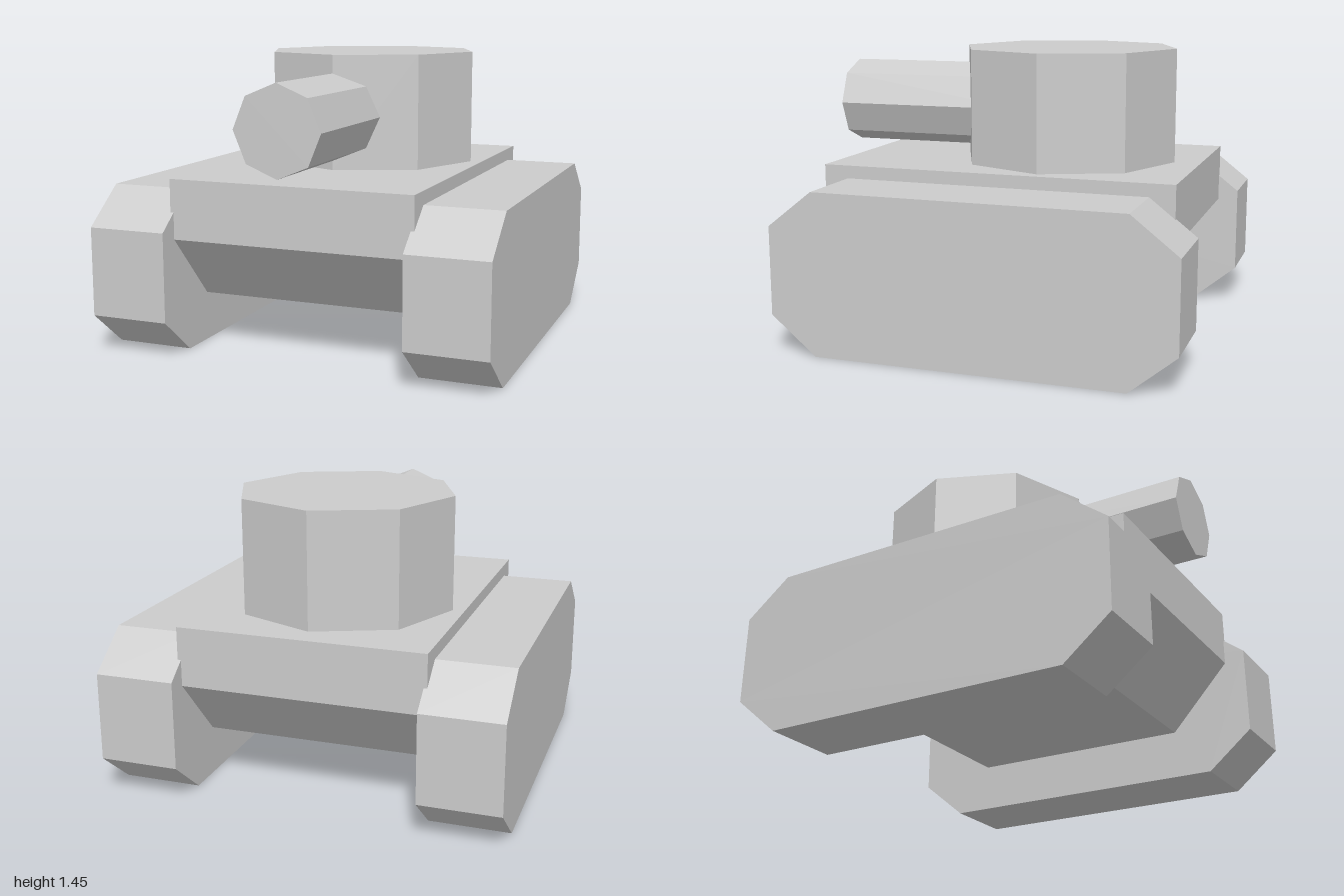
import * as THREE from 'three';

const material = new THREE.MeshStandardMaterial({ color: 0xcccccc, flatShading: true });

function part(name, geometry, x = 0, y = 0, z = 0) {
  const mesh = new THREE.Mesh(geometry, material);
  mesh.name = name;
  mesh.position.set(x, y, z);
  return mesh;
}

// Side profile given as [z, y] points of the front half (bottom to top),
// mirrored to the back and extruded across the width.
function sideProfile(half, width) {
  const back = half.map(([z, y]) => [-z, y]).reverse();
  const shape = new THREE.Shape([...half, ...back].map(([z, y]) => new THREE.Vector2(z, y)));
  const geometry = new THREE.ExtrudeGeometry(shape, { depth: width, bevelEnabled: false });
  geometry.translate(0, 0, -width / 2);
  geometry.rotateY(-Math.PI / 2);
  return geometry;
}

export function createModel() {
  const tank = new THREE.Group();
  tank.name = 'tank';

  // Hull with sloped lower front and back
  tank.add(part('hull', sideProfile([[0.585, 0.245], [0.895, 0.58], [0.895, 0.875]], 1.234)));

  // Tracks
  const track = sideProfile([[0.77, 0], [1, 0.19], [1, 0.63], [0.77, 0.81]], 0.4);
  tank.add(part('leftTrack', track, 0.8), part('rightTrack', track, -0.8));

  // Octagonal turret, one corner facing forward
  tank.add(part('turret', new THREE.CylinderGeometry(0.557, 0.557, 0.575, 8), 0, 1.1625, -0.205));

  // Octagonal gun barrel, running from inside the turret to the front
  const barrel = new THREE.CylinderGeometry(0.218, 0.218, 1, 8).rotateX(Math.PI / 2);
  tank.add(part('gunBarrel', barrel, 0, 1.14, 0.5));

  return tank;
}
